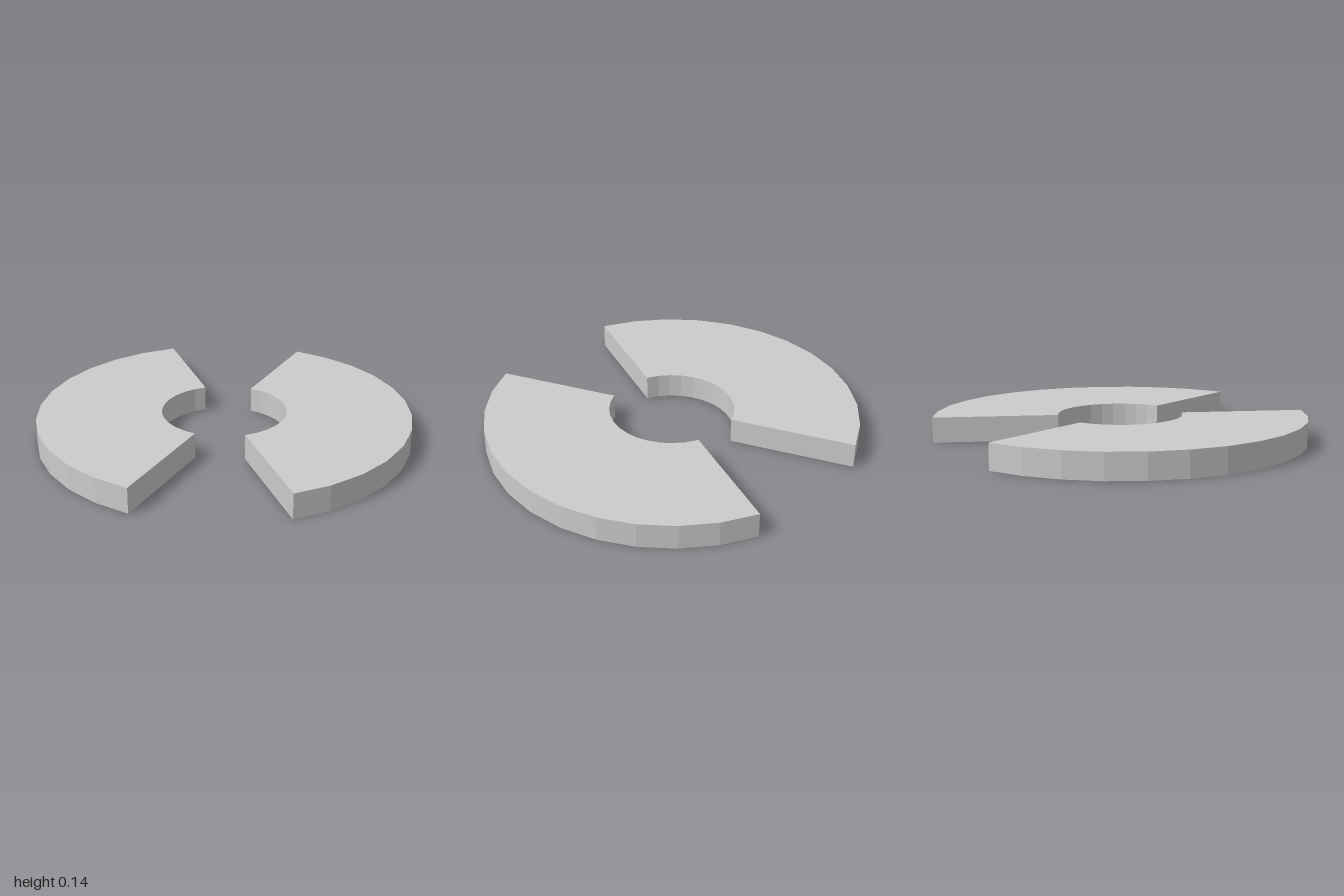
import * as THREE from 'three';

const OUTER = 1, INNER = 0.335, HEIGHT = 0.135;
const SEGMENTS = 12; // facets per sector, 11.25 degrees each
const START = THREE.MathUtils.degToRad(67.5);
const SPAN = THREE.MathUtils.degToRad(135);

// Points along an arc of the sector outline
function arc(radius) {
  return Array.from({ length: SEGMENTS + 1 }, (_, i) => {
    const a = START + (SPAN * i) / SEGMENTS;
    return new THREE.Vector2(radius * Math.cos(a), radius * Math.sin(a));
  });
}

export function createModel() {
  const group = new THREE.Group();
  group.name = 'splitRing';
  const material = new THREE.MeshStandardMaterial({ color: 0xcccccc, flatShading: true });

  // Flat ring sector, extruded and laid down on the ground
  const outline = new THREE.Shape([...arc(OUTER), ...arc(INNER).reverse()]);
  const geometry = new THREE.ExtrudeGeometry(outline, { depth: HEIGHT, bevelEnabled: false });
  geometry.rotateX(-Math.PI / 2);

  // Two identical sectors facing each other
  ['backSector', 'frontSector'].forEach((name, i) => {
    const sector = new THREE.Mesh(geometry, material);
    sector.name = name;
    sector.rotation.y = i * Math.PI;
    group.add(sector);
  });
  return group;
}
